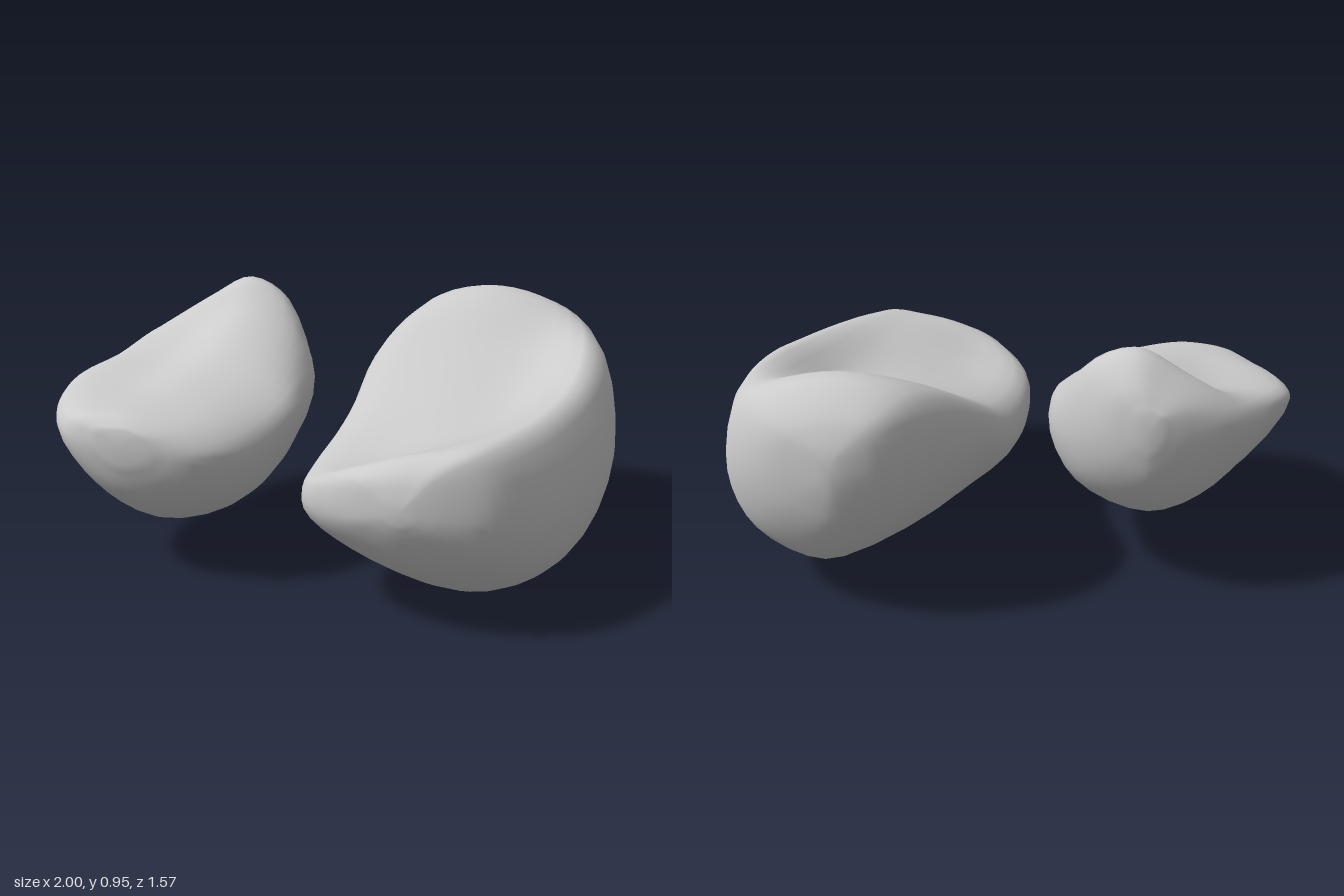
import * as THREE from 'three';

const LOOP = 36, LENGTH = 36;
const mix = THREE.MathUtils.lerp;

// Cross-section from back to front:
// z, left x/y, right x/y, bottom x/y, then heights across the top:
// left rim, left middle, right middle, right rim
const LARGE = [
  [-0.785, 0.42, 0.64, 0.50, 0.62, 0.46, 0.58, 0.70, 0.71, 0.71, 0.69],
  [-0.74, 0.30, 0.64, 0.70, 0.60, 0.50, 0.40, 0.79, 0.82, 0.80, 0.75],
  [-0.62, 0.19, 0.62, 0.87, 0.52, 0.55, 0.22, 0.83, 0.91, 0.88, 0.78],
  [-0.48, 0.11, 0.58, 0.94, 0.46, 0.60, 0.13, 0.79, 0.86, 0.83, 0.78],
  [-0.30, 0.04, 0.54, 0.985, 0.42, 0.62, 0.065, 0.69, 0.74, 0.73, 0.77],
  [-0.05, 0.03, 0.42, 1.00, 0.40, 0.63, 0.02, 0.56, 0.62, 0.63, 0.74],
  [0.14, 0.02, 0.35, 0.98, 0.40, 0.63, 0.00, 0.50, 0.56, 0.60, 0.71],
  [0.40, 0.025, 0.34, 0.91, 0.40, 0.60, 0.055, 0.47, 0.52, 0.61, 0.68],
  [0.60, 0.07, 0.37, 0.81, 0.42, 0.52, 0.17, 0.48, 0.55, 0.64, 0.66],
  [0.70, 0.18, 0.40, 0.72, 0.44, 0.47, 0.27, 0.52, 0.60, 0.64, 0.64],
  [0.76, 0.30, 0.43, 0.58, 0.45, 0.44, 0.37, 0.54, 0.57, 0.58, 0.58],
  [0.785, 0.40, 0.46, 0.48, 0.46, 0.44, 0.43, 0.49, 0.50, 0.50, 0.50],
];
const SMALL = [
  [-0.44, -0.57, 0.70, -0.49, 0.70, -0.53, 0.64, 0.76, 0.77, 0.77, 0.76],
  [-0.40, -0.66, 0.66, -0.37, 0.68, -0.52, 0.50, 0.77, 0.83, 0.86, 0.82],
  [-0.30, -0.81, 0.68, -0.24, 0.62, -0.52, 0.36, 0.76, 0.88, 0.95, 0.87],
  [-0.18, -0.89, 0.66, -0.16, 0.60, -0.52, 0.27, 0.73, 0.79, 0.86, 0.78],
  [0.00, -0.94, 0.63, -0.13, 0.58, -0.53, 0.20, 0.68, 0.70, 0.76, 0.70],
  [0.18, -1.00, 0.60, -0.12, 0.56, -0.54, 0.165, 0.65, 0.66, 0.69, 0.64],
  [0.36, -0.975, 0.56, -0.15, 0.52, -0.55, 0.17, 0.62, 0.64, 0.66, 0.61],
  [0.50, -0.90, 0.53, -0.21, 0.50, -0.56, 0.24, 0.60, 0.64, 0.64, 0.59],
  [0.60, -0.80, 0.52, -0.32, 0.50, -0.57, 0.35, 0.60, 0.63, 0.62, 0.57],
  [0.65, -0.66, 0.53, -0.48, 0.52, -0.58, 0.47, 0.58, 0.59, 0.59, 0.57],
];

// Closed rounded loop: belly below, shallow top between two rims
function sectionLoop([z, xL, yL, xR, yR, xB, yB, rimL, midL, midR, rimR], shape) {
  const [belly, lift] = shape.belly;
  const across = shape.top.map((t) => mix(xL, xR, t));
  const points = [
    [xL, yL],
    [mix(xB, xL, belly), mix(yB, yL, lift)],
    [xB, yB],
    [mix(xB, xR, 0.74), mix(yB, yR, 0.32)],
    [xR, yR],
    [across[3], rimR],
    [across[2], midR],
    [across[1], midL],
    [across[0], rimL],
  ].map(([x, y]) => new THREE.Vector3(x, y, z));
  const curve = new THREE.CatmullRomCurve3(points, true);
  return Array.from({ length: LOOP }, (_, j) => curve.getPoint(j / LOOP));
}

// Skin the loops with smooth lengthwise curves and close both ends
function shellGeometry(rows, shape) {
  const loops = rows.map((row) => sectionLoop(row, shape));
  const rails = loops[0].map((_, j) => new THREE.CatmullRomCurve3(loops.map((l) => l[j])));
  const position = [], index = [];
  for (let i = 0; i <= LENGTH; i++) {
    for (const rail of rails) {
      const p = rail.getPoint(i / LENGTH);
      position.push(p.x, Math.max(p.y, 0), p.z);
    }
  }
  for (let i = 0; i < LENGTH; i++) {
    for (let j = 0; j < LOOP; j++) {
      const k = (j + 1) % LOOP;
      const a = i * LOOP + j, b = i * LOOP + k;
      index.push(a, b, b + LOOP, a, b + LOOP, a + LOOP);
    }
  }
  // end caps
  for (const [loop, start, front] of [[loops[0], 0, false], [loops.at(-1), LENGTH * LOOP, true]]) {
    const c = loop.reduce((s, p) => s.add(p), new THREE.Vector3()).divideScalar(LOOP);
    const centre = position.length / 3;
    position.push(c.x, c.y, c.z);
    for (let j = 0; j < LOOP; j++) {
      const a = start + j, b = start + (j + 1) % LOOP;
      index.push(...(front ? [a, b, centre] : [b, a, centre]));
    }
  }
  const geometry = new THREE.BufferGeometry();
  geometry.setAttribute('position', new THREE.Float32BufferAttribute(position, 3));
  geometry.setIndex(index);
  geometry.computeVertexNormals();
  return geometry;
}

export function createModel() {
  const group = new THREE.Group();
  group.name = 'stonePair';
  const material = new THREE.MeshStandardMaterial({ color: 0xcccccc });
  const add = (name, rows, shape) => {
    const mesh = new THREE.Mesh(shellGeometry(rows, shape), material);
    mesh.name = name;
    group.add(mesh);
  };
  add('largeHollowStone', LARGE, { belly: [0.64, 0.4], top: [0.025, 0.32, 0.66, 0.9] });
  add('smallHollowStone', SMALL, { belly: [0.58, 0.31], top: [0.06, 0.35, 0.61, 0.88] });
  return group;
}
